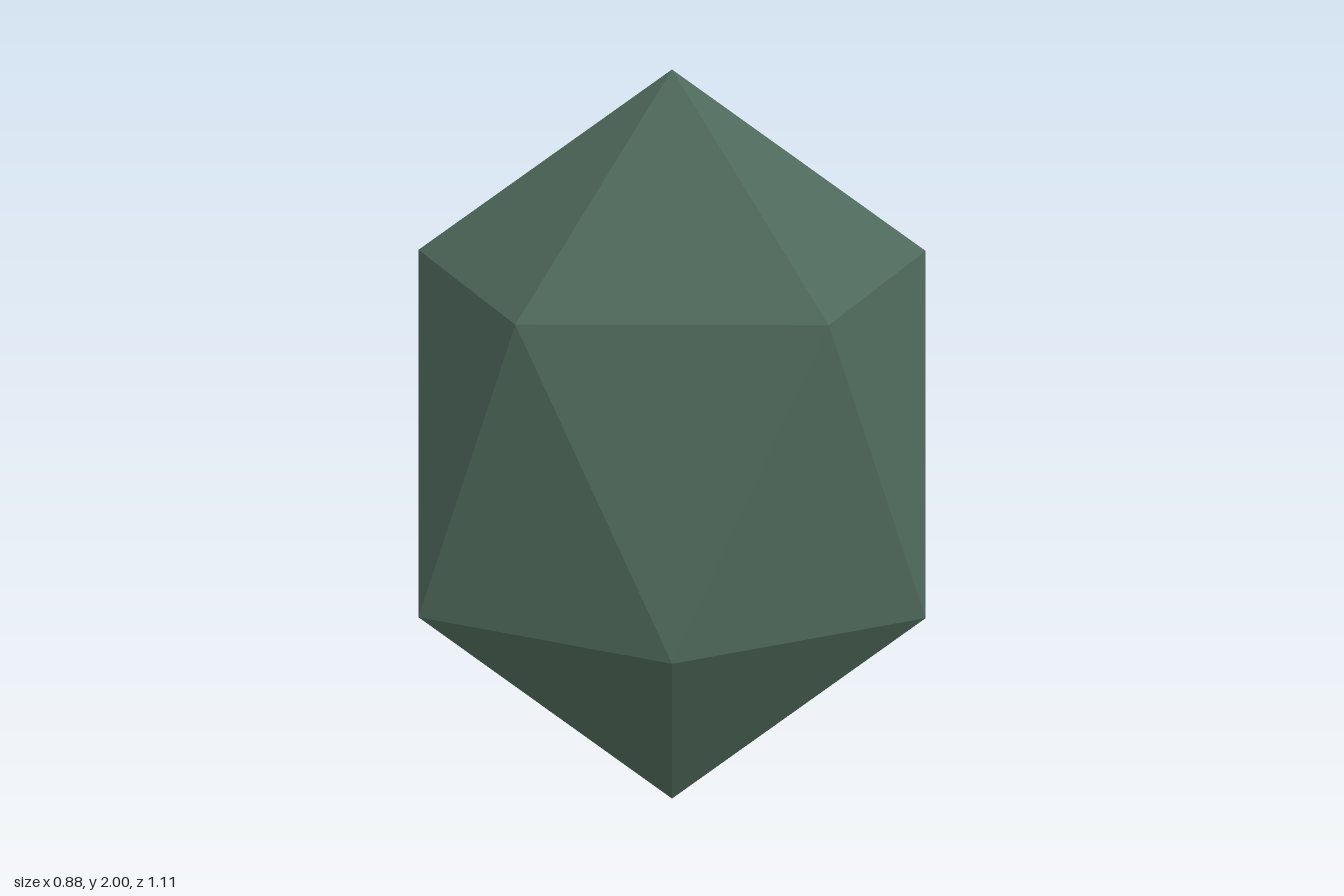
import * as THREE from 'three';

export function createModel() {
  const group = new THREE.Group();
  group.name = 'gemStone';

  const stoneGreen = new THREE.MeshStandardMaterial({ color: 0x4f6a5c, flatShading: true });
  stoneGreen.name = 'stoneGreen';

  // Twenty-sided stone turned to stand on one point
  const geometry = new THREE.IcosahedronGeometry(1, 0);
  geometry.rotateX(-Math.atan((1 + Math.sqrt(5)) / 2));

  // Narrow it, skew it in plan, and raise it to the ground
  geometry.scale(0.517, 1, 0.517);
  const skew = -0.665;
  geometry.applyMatrix4(new THREE.Matrix4().set(
    1, 0, 0, 0,
    0, 1, 0, 1,
    skew, 0, 1, 0,
    0, 0, 0, 1
  ));
  geometry.computeVertexNormals();

  const stone = new THREE.Mesh(geometry, stoneGreen);
  stone.name = 'stone';
  group.add(stone);
  return group;
}
